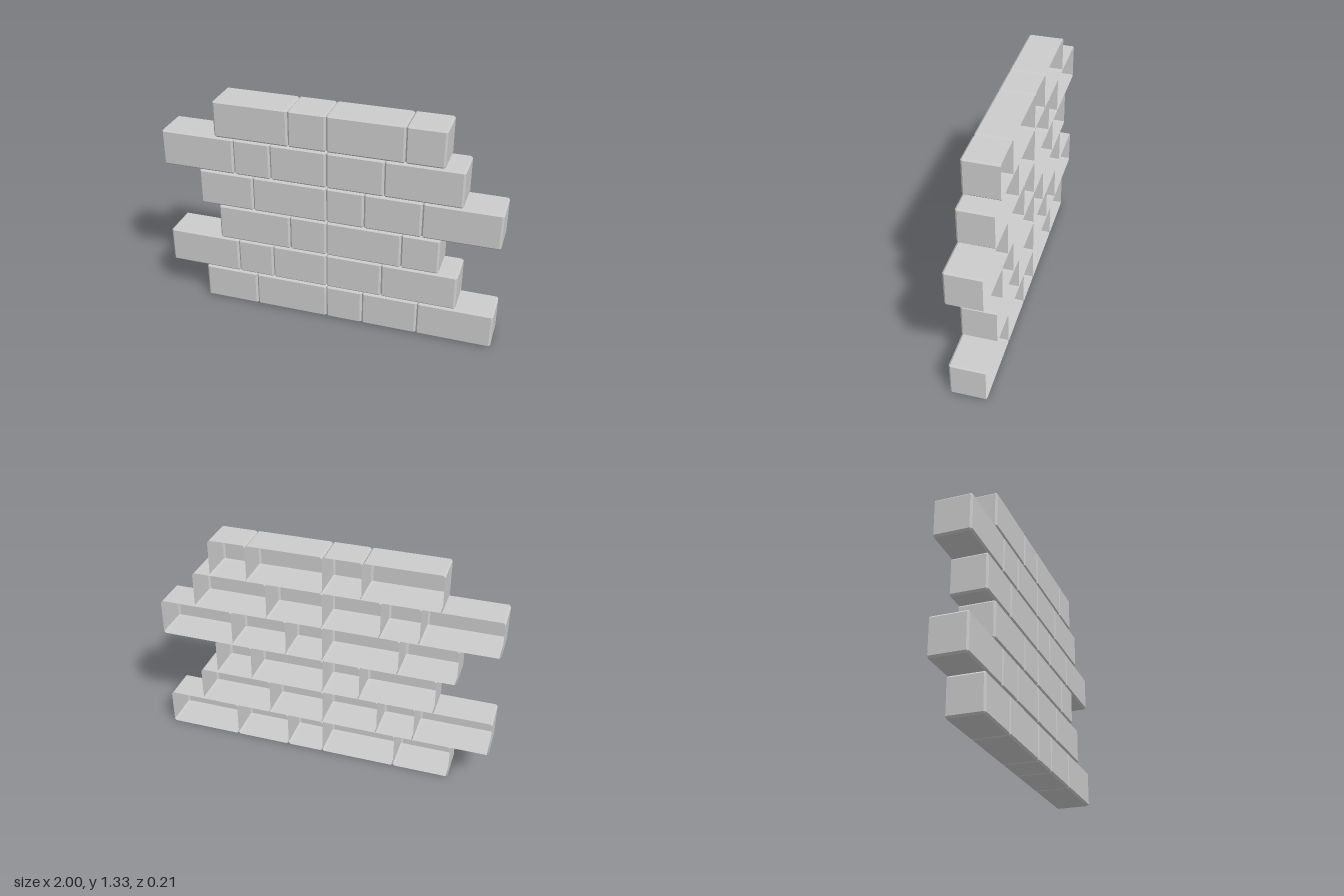
import * as THREE from 'three';

const U = 1 / 9;        // wall module: bricks are 2, 3 or 4 modules long, 2 high
const BEVEL = 0.011;
const BACK = -0.104, FRONT = 0.104;

// Hollow brick shell, open at the back, with chamfered long edges and front rim
function brickGeometry(width, height) {
  const w = width / 2, h = height / 2, b = BEVEL;
  const outline = [
    [w, -h + b], [w, h - b], [w - b, h], [-w + b, h],
    [-w, h - b], [-w, -h + b], [-w + b, -h], [w - b, -h],
  ];
  const ring = (z) => outline.map(([x, y]) => [x, y, z]);
  const back = ring(BACK), rim = ring(FRONT - b);
  const face = outline.map(([x, y]) => [Math.sign(x) * (w - b), Math.sign(y) * (h - b), FRONT]);

  const positions = [];
  const tri = (p, q, r) => positions.push(...p, ...q, ...r);
  for (let i = 0; i < 8; i++) {
    const j = (i + 1) % 8;
    // Side walls
    tri(back[i], back[j], rim[j]);
    tri(back[i], rim[j], rim[i]);
    // Front bevel, which closes to a triangle at each corner
    tri(rim[i], rim[j], face[j]);
    if (i % 2 === 0) tri(rim[i], face[j], face[i]);
  }
  // Front face
  tri(face[0], face[2], face[4]);
  tri(face[0], face[4], face[6]);

  const geometry = new THREE.BufferGeometry();
  geometry.setAttribute('position', new THREE.Float32BufferAttribute(positions, 3));
  geometry.computeVertexNormals();
  return geometry;
}

export function createModel() {
  const wall = new THREE.Group();
  wall.name = 'brickWall';
  const material = new THREE.MeshStandardMaterial({
    color: 0xcccccc, flatShading: true, side: THREE.DoubleSide,
  });

  // Joint positions of the three repeating courses, in modules
  const courses = [
    [-7, -4, 0, 2, 5, 9],
    [-9, -5, -3, 0, 3, 7],
    [-6, -2, 0, 4, 6],
  ];
  const bricks = {};
  for (const n of [2, 3, 4]) bricks[n] = brickGeometry(n * U, 2 * U);

  for (let row = 0; row < 6; row++) {
    const course = new THREE.Group();
    course.name = `course${row + 1}`;
    course.position.y = (2 * row + 1) * U;
    const joints = courses[row % 3];
    for (let i = 0; i < joints.length - 1; i++) {
      const brick = new THREE.Mesh(bricks[joints[i + 1] - joints[i]], material);
      brick.name = `brick${i + 1}`;
      brick.position.x = (joints[i] + joints[i + 1]) / 2 * U;
      course.add(brick);
    }
    wall.add(course);
  }
  return wall;
}
